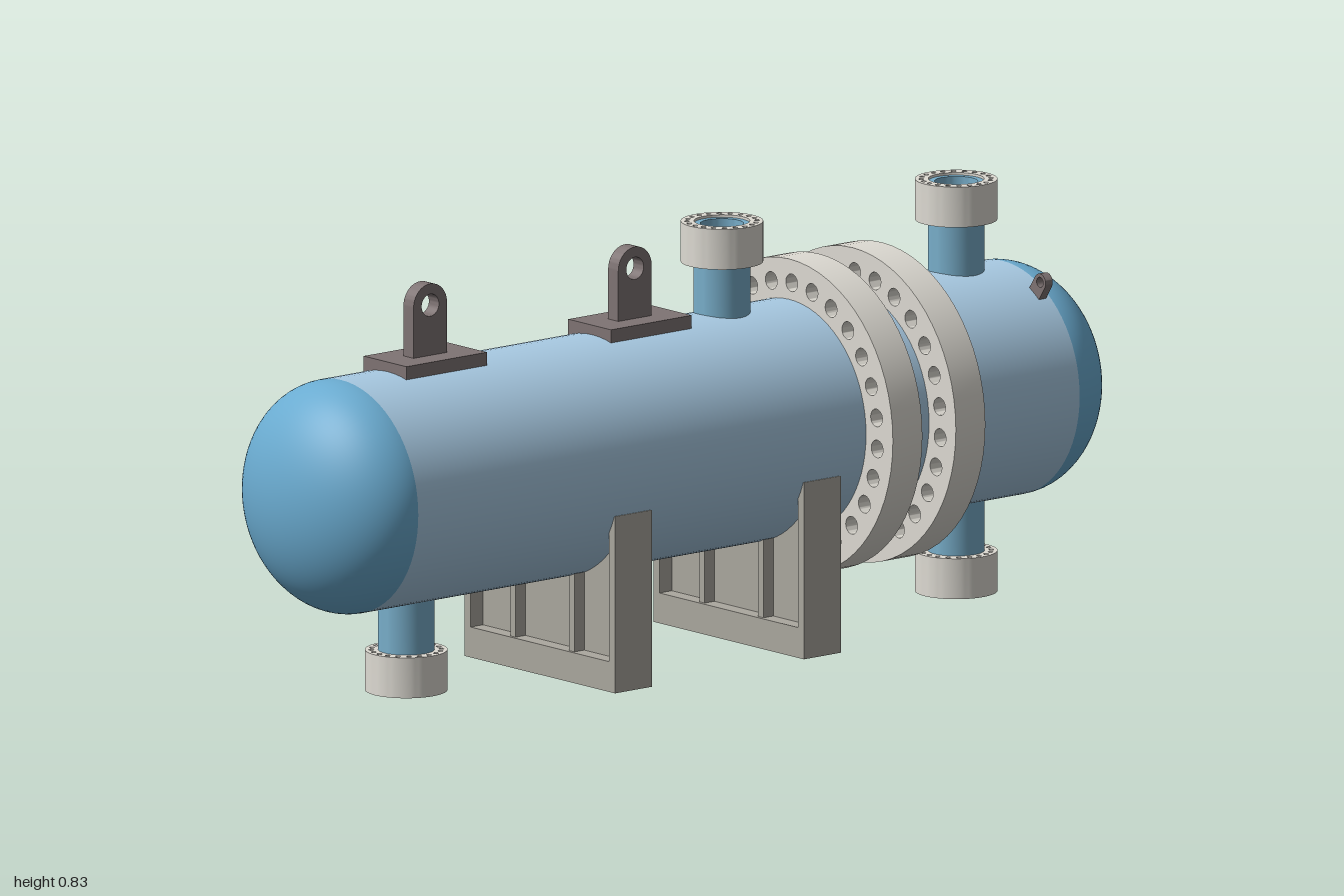
import * as THREE from 'three';
import { toCreasedNormals } from 'three/addons/utils/BufferGeometryUtils.js';

const AXIS_Y = 0.426, R = 0.23, OFF = -0.006;
const mat = (color) => new THREE.MeshStandardMaterial({ color });
const shellMat = mat(0xa9cbe4), domeMat = mat(0x6aabd0), pipeMat = mat(0x78aeca);
const flangeMat = mat(0xdedbd3), lugMat = mat(0x7f7474), saddleMat = mat(0xaba89f);

function add(parent, name, geometry, material, x = 0, y = 0, z = 0) {
  const mesh = new THREE.Mesh(geometry, material);
  mesh.name = name;
  mesh.position.set(x, y, z);
  parent.add(mesh);
  return mesh;
}

function group(parent, name, x, y, z) {
  const g = new THREE.Group();
  g.name = name;
  g.position.set(x, y, z);
  parent.add(g);
  return g;
}

function circleHole(x, y, r) {
  return new THREE.Path().absarc(x, y, r, 0, Math.PI * 2, true);
}

// Extrusion centred on z, with smooth curves and sharp rims
function plate(shape, depth, curveSegments) {
  const g = new THREE.ExtrudeGeometry(shape, { depth, curveSegments, bevelEnabled: false });
  g.translate(0, 0, -depth / 2);
  return toCreasedNormals(g, 0.7);
}

// Ring with a circle of bolt holes
function boltRing({ outer, inner, depth, count, circle, hole, phase = 0 }) {
  const shape = new THREE.Shape().absarc(0, 0, outer, 0, Math.PI * 2, false);
  shape.holes.push(circleHole(0, 0, inner));
  for (let i = 0; i < count; i++) {
    const a = phase + (i / count) * Math.PI * 2;
    shape.holes.push(circleHole(circle * Math.cos(a), circle * Math.sin(a), hole));
  }
  return plate(shape, depth, 32);
}

// Upright tab with a rounded top and an eye; y = 0 is its foot
function eyePlate(width, height, eye, depth) {
  const w = width / 2, c = height - w;
  const shape = new THREE.Shape();
  shape.moveTo(-w, 0);
  shape.lineTo(w, 0);
  shape.lineTo(w, c);
  shape.absarc(0, c, w, 0, Math.PI, false);
  shape.lineTo(-w, 0);
  shape.holes.push(circleHole(0, c, eye));
  return plate(shape, depth, 16);
}

// Hollow pipe with a bolted collar, pointing up (dir 1) or down (dir -1)
function addNozzle(parent, name, z, dir) {
  const g = group(parent, name, OFF, AXIS_Y, z);
  if (dir < 0) g.rotation.z = Math.PI;
  const profile = [[0.042, 0.19], [0.055, 0.19], [0.055, 0.403], [0.042, 0.403], [0.042, 0.19]];
  const pipe = new THREE.LatheGeometry(profile.map(([r, y]) => new THREE.Vector2(r, y)), 40);
  add(g, 'nozzlePipe', toCreasedNormals(pipe, 0.7), pipeMat);
  const collar = boltRing({ outer: 0.08, inner: 0.054, depth: 0.08, count: 20, circle: 0.068, hole: 0.005 });
  collar.rotateX(-Math.PI / 2);
  add(g, 'nozzleCollar', collar, flangeMat, 0, 0.368, 0);
}

// Saddle support: base, web, end plates and ribs
function addSaddle(parent, name, z) {
  const g = group(parent, name, OFF, 0, z);
  const depth = 0.094;
  add(g, 'saddleBase', new THREE.BoxGeometry(0.45, 0.06, depth), saddleMat, 0, 0.03, 0);

  // Web is cut to the curve of the shell
  const web = new THREE.Shape();
  const a = Math.asin(0.21 / (R - 0.004));
  web.moveTo(-0.21, 0.05);
  web.lineTo(0.21, 0.05);
  web.absarc(0, AXIS_Y, R - 0.004, a - Math.PI / 2, -a - Math.PI / 2, true);
  web.closePath();
  add(g, 'saddleWeb', plate(web, 0.03, 32), saddleMat);

  for (const s of [-1, 1]) {
    add(g, 'saddleEndPlate', new THREE.BoxGeometry(0.018, 0.35, depth), saddleMat, s * 0.216, 0.175, 0);
    add(g, 'saddleRib', new THREE.BoxGeometry(0.016, 0.18, depth - 0.014), saddleMat, s * 0.088, 0.13, 0);
  }
}

// Lifting lug on its pad
function addLiftingLug(parent, name, z) {
  const g = group(parent, name, OFF - 0.002, 0, z);
  add(g, 'lugPad', new THREE.BoxGeometry(0.128, 0.034, 0.205), lugMat, 0, 0.658, 0);
  const eye = add(g, 'lugEye', eyePlate(0.085, 0.15, 0.022, 0.03), lugMat, 0, 0.667, 0);
  eye.rotation.y = Math.PI / 2;
}

export function createModel() {
  const model = new THREE.Group();
  model.name = 'pressureVessel';

  // Shell and domed ends
  const shell = new THREE.CylinderGeometry(R, R, 1.68, 72);
  shell.rotateX(Math.PI / 2);
  add(model, 'shell', shell, shellMat, 0, AXIS_Y, 0);
  for (const s of [1, -1]) {
    const dome = new THREE.SphereGeometry(R, 72, 24, 0, Math.PI * 2, 0, Math.PI / 2);
    dome.scale(1, 0.16 / R, 1);
    dome.rotateX(s * Math.PI / 2);
    add(model, s > 0 ? 'frontDome' : 'backDome', dome, domeMat, 0, AXIS_Y, s * 0.84);
  }

  // Pair of bolted body flanges
  for (const z of [-0.335, -0.495]) {
    const ring = boltRing({
      outer: 0.31, inner: R - 0.003, depth: 0.075,
      count: 27, circle: 0.264, hole: 0.0175, phase: 115 * Math.PI / 180,
    });
    add(model, 'bodyFlange', ring, flangeMat, 0, AXIS_Y, z);
  }

  // Nozzles
  addNozzle(model, 'topNozzleFront', -0.132, 1);
  addNozzle(model, 'topNozzleBack', -0.727, 1);
  addNozzle(model, 'bottomNozzleFront', 0.67, -1);
  addNozzle(model, 'bottomNozzleBack', -0.727, -1);

  // Saddles and lifting lugs
  addSaddle(model, 'frontSaddle', 0.284);
  addSaddle(model, 'backSaddle', -0.196);
  addLiftingLug(model, 'frontLiftingLug', 0.62);
  addLiftingLug(model, 'backLiftingLug', 0.1);

  // Small radial lugs at the back end
  for (const deg of [128, 56]) {
    const a = deg * Math.PI / 180;
    const lug = add(model, 'smallLug', eyePlate(0.034, 0.06, 0.01, 0.018), lugMat,
      0.217 * Math.cos(a), AXIS_Y + 0.217 * Math.sin(a), -0.82);
    lug.rotation.z = a - Math.PI / 2;
  }

  return model;
}
